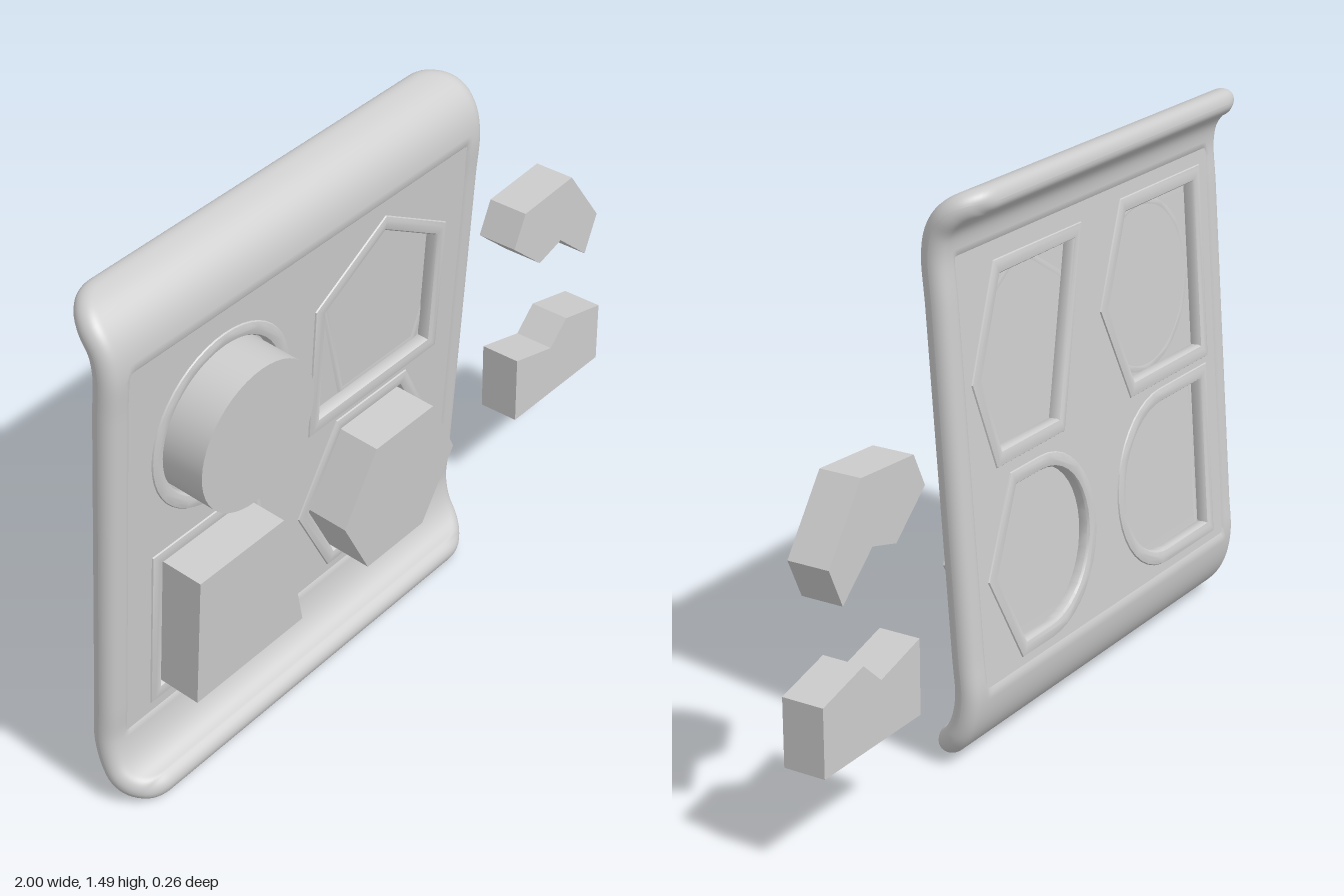
import * as THREE from 'three';
import { toCreasedNormals } from 'three/addons/utils/BufferGeometryUtils.js';

const grey = new THREE.MeshStandardMaterial({ color: 0xcccccc });
const R = 0.035;          // half thickness of the board edge
const WEB = 0.006;        // half thickness of the web between front and back recesses
const PANEL = { x0: -0.94, x1: 0.31, y0: 0.2, y1: 1.32 };

const v2 = (pts) => pts.map(([x, y]) => new THREE.Vector2(x, y));
const scaled = (pts, k, c) => pts.map(([x, y]) => [x * k + c[0], y * k + c[1]]);
const arc = (r, from, to, n) => Array.from({ length: n + 1 }, (_, i) => {
  const a = THREE.MathUtils.degToRad(from + (to - from) * i / n);
  return [r * Math.cos(a), r * Math.sin(a)];
});

function add(parent, geometry, name) {
  const mesh = new THREE.Mesh(geometry, grey);
  mesh.name = name;
  parent.add(mesh);
  return mesh;
}

function extrude(outer, holes, z0, z1, bevel = 0) {
  const shape = new THREE.Shape(v2(outer));
  for (const h of holes) shape.holes.push(new THREE.Path(v2(h)));
  const g = new THREE.ExtrudeGeometry(shape, {
    depth: z1 - z0 - bevel, bevelEnabled: bevel > 0, bevelThickness: bevel,
    bevelSize: bevel * 1.6, bevelSegments: 2, curveSegments: 1,
  });
  g.translate(0, 0, z0);
  return toCreasedNormals(g, 0.6);
}

// S-curved board with a rounded rim, thinned to a web behind the panel
function boardGeometry() {
  const path = new THREE.CatmullRomCurve3([
    [0.033, 0.033], [0.038, 0], [0.062, -0.04], [0.11, -0.074], [0.19, -0.092],
    [0.3, -0.084], [0.6, -0.061], [0.9, -0.038], [1.2, -0.015], [1.33, -0.005],
    [1.39, -0.018], [1.435, -0.055], [1.455, -0.1], [1.457, -0.132],
  ].map(([y, z]) => new THREE.Vector3(0, y, z)), false, 'centripetal');
  const L = path.getLength(), W = 0.685, CX = -0.315, r = 0.12, N = 100;
  const pos = [], idx = [];
  for (const side of [1, -1]) {
    const base = pos.length / 3;
    for (let i = 0; i <= N; i++) {
      const u = (1 - Math.cos(Math.PI * i / N)) / 2;
      const p = path.getPointAt(u), t = path.getTangentAt(u);
      const s = Math.min(u, 1 - u) * L;
      const w = s < r ? W - r + Math.sqrt(r * r - (r - s) ** 2) : W;
      for (let j = 0; j <= N; j++) {
        const x = -w * Math.cos(Math.PI * j / N), ax = Math.abs(x);
        const corner = s < r && ax > W - r;
        let d = corner ? r - Math.hypot(r - s, ax - W + r) : Math.min(s, W - ax);
        d = THREE.MathUtils.clamp(d, 0, R);
        let h = Math.sqrt(R * R - (R - d) ** 2);
        const X = x + CX;
        const e = Math.min(X - PANEL.x0, PANEL.x1 - X, p.y - PANEL.y0, PANEL.y1 - p.y);
        h = THREE.MathUtils.lerp(h, WEB - 0.002, THREE.MathUtils.smoothstep(e, 0, 0.04));
        pos.push(X, p.y - side * h * t.z, p.z + side * h * t.y);
        if (i < N && j < N) {
          const a = base + i * (N + 1) + j, b = a + 1, c = a + N + 1, f = c + 1;
          if (side > 0) idx.push(a, b, f, a, f, c);
          else idx.push(a, f, b, a, c, f);
        }
      }
    }
  }
  const g = new THREE.BufferGeometry();
  g.setAttribute('position', new THREE.Float32BufferAttribute(pos, 3));
  g.setIndex(idx);
  g.computeVertexNormals();
  return g;
}

export function createModel() {
  const model = new THREE.Group();
  model.name = 'shapeSorter';
  add(model, boardGeometry(), 'board');

  // Everything on the flat of the board leans with it
  const lean = new THREE.Group();
  lean.name = 'panel';
  lean.rotation.x = 0.077;
  lean.position.z = -0.107;
  model.add(lean);

  const circle = arc(0.2, 0, 352.5, 47);
  const trapezoid = [[-0.2, -0.2], [0.2, -0.2], [0.105, 0.195], [-0.2, 0.195]];
  const hexagon = [[-0.225, 0], [-0.115, -0.2], [0.115, -0.2], [0.225, 0], [0.115, 0.2], [-0.115, 0.2]];
  const house = [[-0.21, -0.22], [0.21, -0.22], [0.21, 0.1], [0, 0.225], [-0.21, 0.1]];
  const front = [
    { name: 'circle', pts: circle, c: [-0.61, 1.01], piece: true },
    { name: 'trapezoid', pts: trapezoid, c: [-0.605, 0.48], piece: true },
    { name: 'hexagon', pts: hexagon, c: [-0.025, 0.475], piece: true },
    { name: 'house', pts: house, c: [-0.02, 1.0] },
  ];
  // Recesses on the back join two different half shapes
  const back = [
    { name: 'hexagonTrapezoid', c: [-0.01, 1.01],
      pts: [[-0.1, -0.22], [0.17, -0.22], [0.24, -0.02], [0.13, 0.22], [-0.22, 0.22]] },
    { name: 'hexagonSquare', c: [-0.62, 1.01],
      pts: [[-0.23, -0.23], [0.13, -0.23], [0.24, 0], [0.13, 0.23], [-0.23, 0.23]] },
    { name: 'hexagonCircle', c: [-0.01, 0.475],
      pts: [...arc(0.21, 90, 270, 20), [0.12, -0.21], [0.23, 0], [0.12, 0.21]] },
    { name: 'circleSquare', c: [-0.62, 0.475],
      pts: [...arc(0.21, -90, 90, 20), [-0.22, 0.21], [-0.22, -0.21]] },
  ];

  const { x0, x1, y0, y1 } = PANEL;
  const rect = [[x0, y0], [x1, y0], [x1, y1], [x0, y1]];
  for (const [label, set, sign] of [['front', front, 1], ['back', back, -1]]) {
    // Plate pierced by the recesses
    const holes = set.map((o) => scaled(o.pts, 1.12, o.c));
    const z = [WEB * sign, 0.031 * sign].sort((a, b) => a - b);
    add(lean, extrude(rect, holes, z[0], z[1]), label + 'Plate');
    for (const o of set) {
      // Raised rim around each recess
      const k = sign > 0 ? 1.1 : 1.06;
      const rim = extrude(scaled(o.pts, k + 0.06, o.c), [scaled(o.pts, k, o.c)], 0.004, 0.037, 0.009);
      if (sign < 0) rim.translate(0, 0, -0.032);
      add(lean, rim, label + 'Rim_' + o.name);
      if (o.piece) add(lean, extrude(scaled(o.pts, 1, o.c), [], WEB, 0.145), 'piece_' + o.name);
    }
  }

  // Loose notched pieces beside the board
  const upper = [[0.575, 0.845], [0.695, 0.74], [0.79, 0.765], [0.91, 0.66], [0.96, 0.765], [0.83, 0.945], [0.62, 0.935]];
  const lower = [[0.605, 0.265], [0.995, 0.26], [0.995, 0.44], [0.835, 0.483], [0.765, 0.42], [0.605, 0.465]];
  add(model, extrude(upper, [], -0.13, -0.015), 'upperLoosePiece');
  add(model, extrude(lower, [], -0.13, -0.015), 'lowerLoosePiece');
  return model;
}
